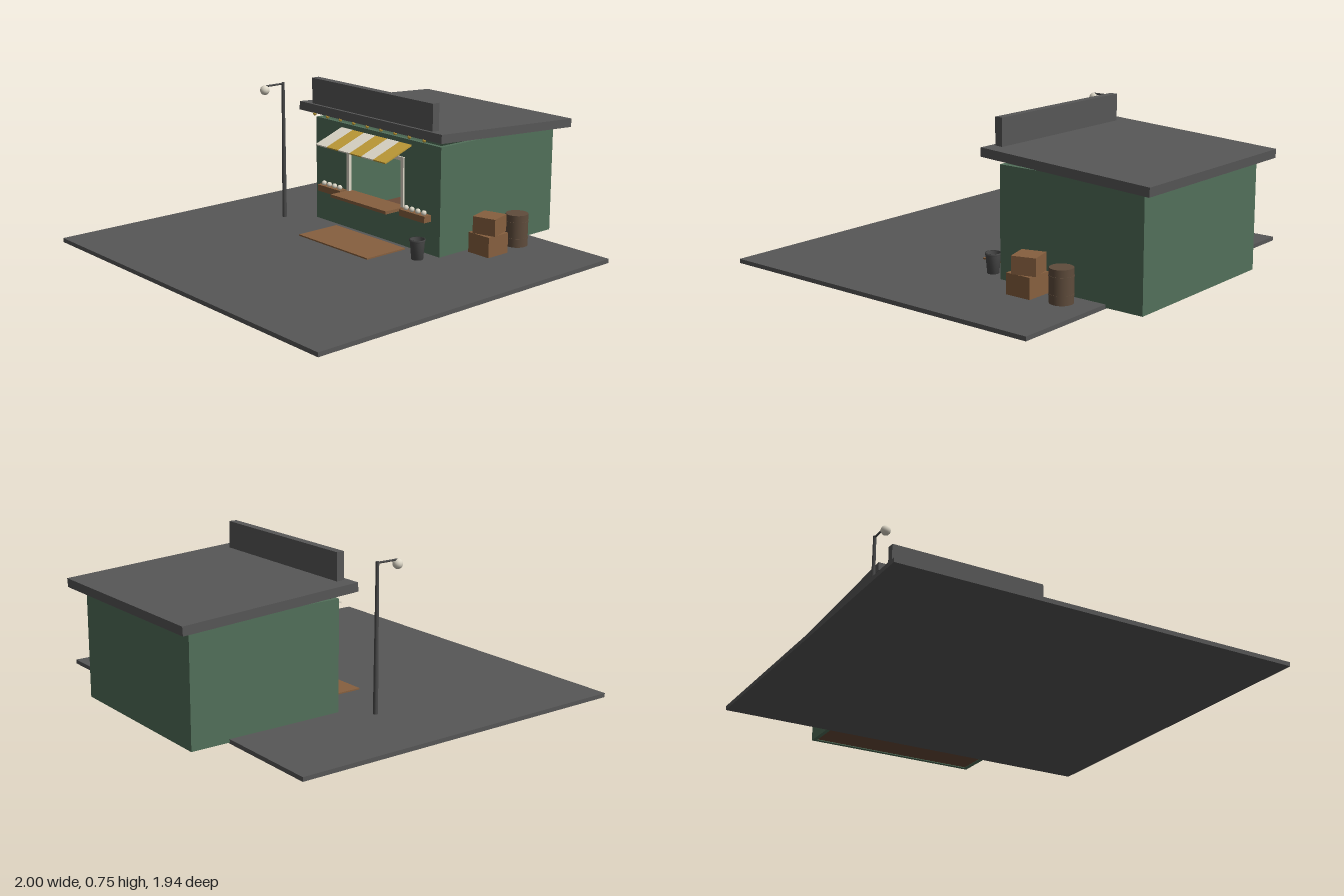
import * as THREE from 'three';

const mat = (name, color) => {
  const m = new THREE.MeshStandardMaterial({ color });
  m.name = name;
  return m;
};

export function createModel() {
  const grey = mat('asphalt grey', 0x575757);
  const green = mat('wall green', 0x52705a);
  const wood = mat('wood brown', 0x87603f);
  const barrelBrown = mat('barrel brown', 0x5f4c3c);
  const floorBrown = mat('floor brown', 0x6b4c3a);
  const metal = mat('dark metal', 0x4a4a4a);
  const cream = mat('cream', 0xded8c8);
  const yellow = mat('awning yellow', 0xc29e38);

  const model = new THREE.Group();
  model.name = 'shopKiosk';
  const add = (name, geo, material, x, y, z, parent = model) => {
    const mesh = new THREE.Mesh(geo, material);
    mesh.name = name;
    mesh.position.set(x, y, z);
    parent.add(mesh);
    return mesh;
  };
  // box from its lower and upper limits
  const box = (name, material, x0, x1, y0, y1, z0, z1, parent) =>
    add(name, new THREE.BoxGeometry(x1 - x0, y1 - y0, z1 - z0), material,
      (x0 + x1) / 2, (y0 + y1) / 2, (z0 + z1) / 2, parent);
  const cylinder = (name, material, rTop, rBottom, y0, y1, x, z, sides = 20) =>
    add(name, new THREE.CylinderGeometry(rTop, rBottom, y1 - y0, sides), material, x, (y0 + y1) / 2, z);

  // ground slab and step in front of the counter
  box('ground', grey, -1, 0.745, 0, 0.02, -0.97, 0.97);
  box('frontStep', wood, -0.11, 0.13, 0.02, 0.027, -0.25, 0.25);

  // walls, with a serving hatch cut in the one facing -x
  const walls = new THREE.Group();
  walls.name = 'walls';
  model.add(walls);
  const top = 0.545, base = 0.005, t = 0.02;
  box('backWall', green, 0.935 - t, 0.935, base, top, -0.445, 0.445, walls);
  for (const s of [-1, 1]) {
    const a = s * 0.445, b = s * (0.445 - t);
    box('sideWall', green, 0.165 + t, 0.935 - t, base, top, Math.min(a, b), Math.max(a, b), walls);
  }
  const front = new THREE.Shape([[-0.445, base], [0.445, base], [0.445, top], [-0.445, top]]
    .map(([u, v]) => new THREE.Vector2(u, v)));
  front.holes.push(new THREE.Path([[-0.195, 0.21], [-0.195, 0.45], [0.195, 0.45], [0.195, 0.21]]
    .map(([u, v]) => new THREE.Vector2(u, v))));
  const frontWall = add('hatchWall',
    new THREE.ExtrudeGeometry(front, { depth: t, bevelEnabled: false }), green, 0.165, 0, 0, walls);
  frontWall.rotation.y = Math.PI / 2;
  box('floor', floorBrown, 0.186, 0.914, 0.008, 0.028, -0.424, 0.424);

  // sloping roof and sign board
  const roof = add('roof', new THREE.BoxGeometry(0.894, 0.042, 1.01), grey, 0.5525, 0.576, 0);
  roof.rotation.z = -0.057;
  box('parapet', grey, 0.125, 0.165, 0.605, 0.75, -0.428, 0.428);

  // hatch frame and counter
  for (const s of [-1, 1]) box('hatchPost', cream, 0.156, 0.172, 0.21, 0.455, s * 0.195 - 0.009, s * 0.195 + 0.009);
  box('hatchLintel', cream, 0.156, 0.172, 0.437, 0.455, -0.186, 0.186);
  box('counter', wood, 0.05, 0.185, 0.196, 0.211, -0.2, 0.2);

  // striped awning, sloping down towards the customer
  const awning = new THREE.Group();
  awning.name = 'awning';
  awning.position.set(0.0825, 0.49, 0);
  awning.rotation.z = Math.atan2(0.06, 0.165);
  model.add(awning);
  const stripe = 0.5 / 6;
  for (let i = 0; i < 6; i++) {
    add('awningStripe', new THREE.BoxGeometry(0.176, 0.007, stripe), i % 2 ? yellow : cream,
      0, 0, -0.25 + stripe * (i + 0.5), awning);
  }

  // goods boxes on either side of the hatch
  for (const s of [-1, 1]) {
    box('displayBox', wood, 0.122, 0.165, 0.18, 0.212, s * 0.3 - 0.085, s * 0.3 + 0.085);
    for (let i = 0; i < 4; i++) {
      add('displayItem', new THREE.SphereGeometry(0.013, 10, 8), cream, 0.143, 0.221, s * 0.3 - 0.06 + i * 0.04);
    }
  }

  // string of bulbs under the roof edge
  const wire = add('lightWire', new THREE.CylinderGeometry(0.002, 0.002, 0.8, 6), metal, 0.112, 0.582, 0);
  wire.rotation.x = Math.PI / 2;
  for (let i = -4; i <= 4; i++) {
    add('bulb', new THREE.SphereGeometry(0.009, 8, 6), yellow, 0.11, 0.576, i * 0.0975);
  }

  // street lamp
  cylinder('lampPole', metal, 0.008, 0.012, 0.02, 0.717, 0.045, -0.56, 10);
  const arm = add('lampArm', new THREE.CylinderGeometry(0.005, 0.005, 0.115, 8), metal, -0.0125, 0.711, -0.56);
  arm.rotation.z = Math.PI / 2;
  add('lampGlobe', new THREE.SphereGeometry(0.024, 14, 10), cream, -0.07, 0.692, -0.56);

  // bin, open at the top
  const binProfile = [[0, 0], [0.028, 0], [0.035, 0.086], [0.038, 0.087], [0.038, 0.096], [0.033, 0.096], [0.027, 0.02], [0, 0.02]]
    .map(([r, y]) => new THREE.Vector2(r, y));
  add('bin', new THREE.LatheGeometry(binProfile, 18), metal, 0.075, 0.02, 0.39);

  // barrel with hoops
  cylinder('barrel', barrelBrown, 0.054, 0.054, 0.02, 0.176, 0.585, 0.54);
  for (const y of [0.055, 0.135]) cylinder('barrelHoop', barrelBrown, 0.056, 0.056, y, y + 0.008, 0.585, 0.54);

  // stacked crates
  box('lowerCrate', wood, 0.33, 0.46, 0.02, 0.118, 0.47, 0.6);
  const upper = box('upperCrate', wood, 0.344, 0.46, 0.118, 0.2, 0.477, 0.593);
  upper.rotation.y = 0.28;

  return model;
}
